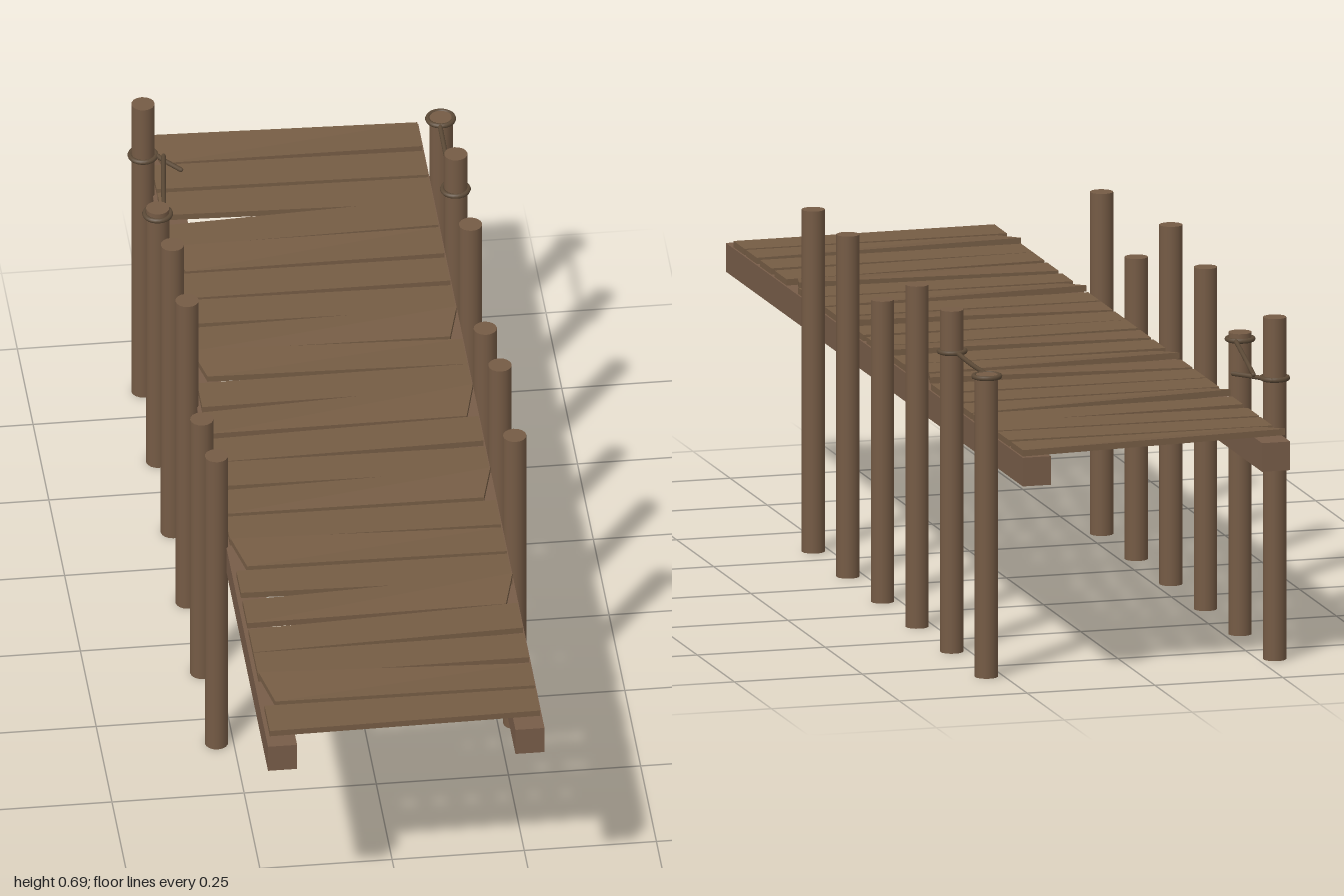
import * as THREE from 'three';

const material = (name, color) => {
  const m = new THREE.MeshStandardMaterial({ color });
  m.name = name;
  return m;
};

export function createModel() {
  const model = new THREE.Group();
  model.name = 'jetty';
  const plankWood = material('plank wood', 0x755c44);
  const plankFlat = plankWood;
  plankFlat.flatShading = true;
  const beamWood = material('beam wood', 0x775c48);
  const postWood = material('post wood', 0x755b45);
  const ropeFibre = material('rope', 0x5c4a37);

  const add = (name, geometry, mat, x = 0, y = 0, z = 0) => {
    const mesh = new THREE.Mesh(geometry, mat);
    mesh.name = name;
    mesh.position.set(x, y, z);
    model.add(mesh);
    return mesh;
  };

  // Two long bearers under the deck
  for (const [name, x] of [['rightBeam', -0.237], ['leftBeam', 0.231]])
    add(name, new THREE.BoxGeometry(0.055, 0.055, 2), beamWood, x, 0.425, 0);

  // Six pairs of posts of uneven height
  const postZ = [0.33, 0.097, -0.136, -0.369, -0.602, -0.835];
  const heights = {
    rightPost: [0.657, 0.58, 0.69, 0.657, 0.58, 0.657],
    leftPost: [0.657, 0.657, 0.58, 0.657, 0.657, 0.58],
  };
  for (const [name, list] of Object.entries(heights))
    list.forEach((h, i) => add(name, new THREE.CylinderGeometry(0.022, 0.022, h, 16),
      postWood, name === 'leftPost' ? 0.282 : -0.282, h / 2, postZ[i]));

  // Deck planks: growth in depth and shift in z towards the left end, in hundredths
  const taper = [0, 0, 1, 1.5, 1.5, -0.5, 0, 0.5, 0.8, 0, 1.5, 0.5, 0, 0.3, 0.3, 0, 1.2, 0.7, 0.7, 0, -1, -1];
  const skew = [0.2, 1.3, 1.4, -2, -1, 0.3, 1, 0.6, 1.2, -0.3, -0.9, -1.3, 0.8, 0.2, 0.7, 0.8, 1, -1, -2.4, -0.3, 1, -0.2];
  const raisedLeft = [7, 10, 13, 17];
  const raisedRight = [0, 4, 8, 15, 20];
  taper.forEach((t, i) => {
    const g = new THREE.BoxGeometry(0.512, 0.012, 0.079);
    const p = g.attributes.position;
    for (let k = 0; k < p.count; k++) {
      const side = Math.sign(p.getX(k));
      const edge = Math.sign(p.getZ(k));
      const raised = (side > 0 ? raisedLeft : raisedRight).includes(i);
      p.setZ(k, edge * (0.079 + side * t * 0.005) / 2 + side * skew[i] * 0.005);
      // A warped end lifts its rear corner and is cut at a slant
      if (raised && edge < 0) p.setY(k, p.getY(k) + 0.011);
      if (raised && edge > 0) p.setX(k, p.getX(k) - side * 0.022);
    }
    g.computeVertexNormals();
    add('plank', g, plankWood, -0.001, 0.4585, -0.95 + i * 0.0892);
  });

  // Rope loops round the rear posts
  const loops = [[-0.282, 0.54, -0.835], [-0.282, 0.567, -0.602], [0.281, 0.577, -0.835], [0.281, 0.577, -0.602]];
  for (const [x, y, z] of loops)
    add('ropeLoop', new THREE.TorusGeometry(0.0245, 0.0048, 8, 24), ropeFibre, x, y, z).rotation.x = Math.PI / 2;

  // Rope spans and one loose end
  const rope = (name, ...points) => {
    const curve = new THREE.CatmullRomCurve3(points.map((q) => new THREE.Vector3(...q)));
    const tube = add(name, new THREE.TubeGeometry(curve, 16, 0.0045, 8), ropeFibre);
    // Closing discs at both ends
    for (const u of [0, 1]) {
      const cap = new THREE.Mesh(new THREE.SphereGeometry(0.0045, 8, 6), ropeFibre);
      cap.name = 'ropeEnd';
      cap.position.copy(curve.getPoint(u));
      tube.add(cap);
    }
  };
  rope('leftRopeSpan', [0.277, 0.577, -0.812], [0.277, 0.575, -0.72], [0.277, 0.577, -0.625]);
  rope('rightRopeSpan', [-0.268, 0.567, -0.622], [-0.257, 0.556, -0.72], [-0.245, 0.545, -0.82]);
  rope('looseRopeEnd', [-0.27, 0.54, -0.857], [-0.25, 0.54, -0.82], [-0.217, 0.54, -0.778]);
  return model;
}
